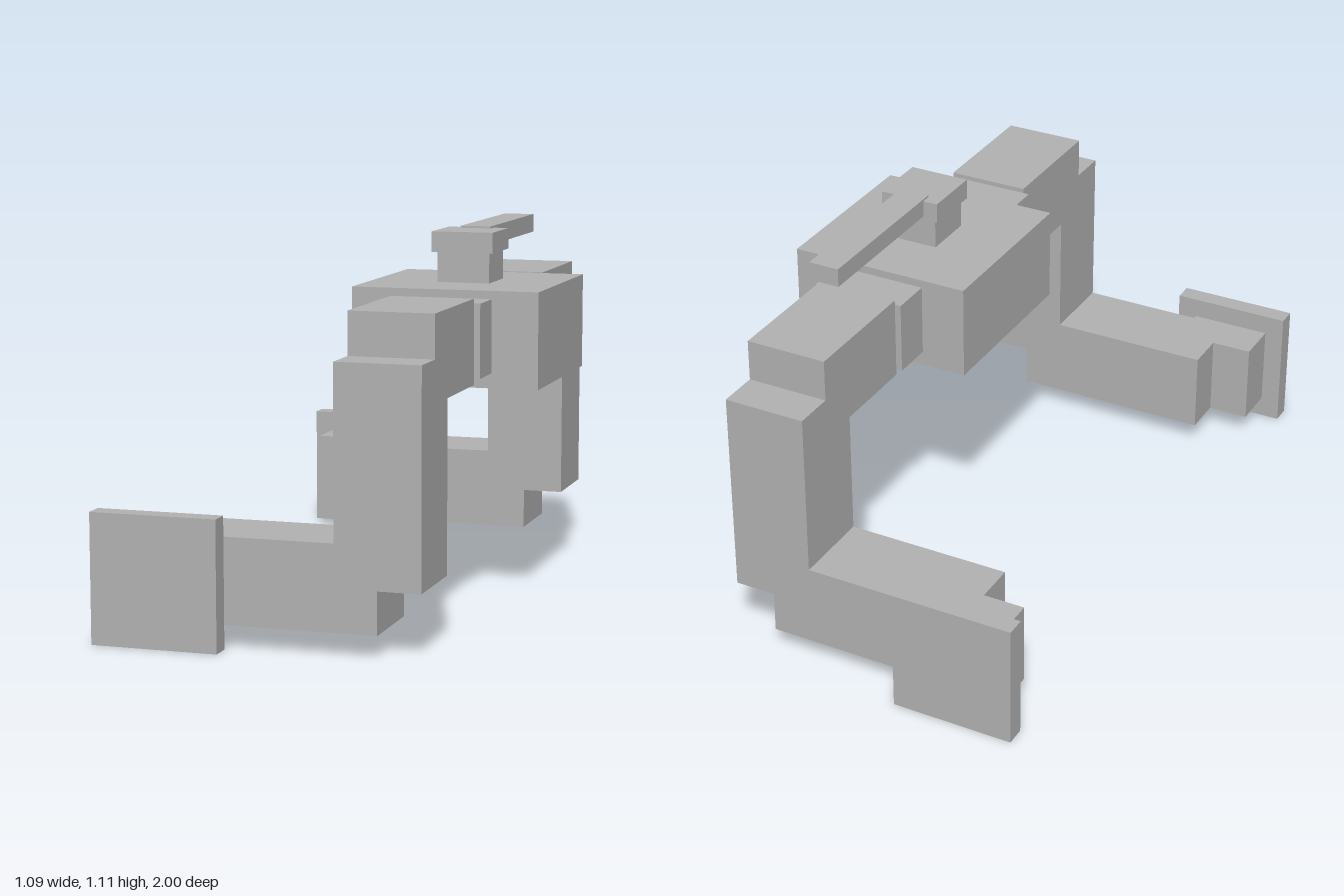
import * as THREE from 'three';

export function createModel() {
  const model = new THREE.Group();
  model.name = 'valvePipe';
  const metal = new THREE.MeshStandardMaterial({ color: 0xb2b2b2 });
  metal.name = 'grey metal';

  // box given by its min and max on each axis
  function box(name, [x0, x1], [y0, y1], [z0, z1], parent = model) {
    const mesh = new THREE.Mesh(new THREE.BoxGeometry(x1 - x0, y1 - y0, z1 - z0), metal);
    mesh.position.set((x0 + x1) / 2, (y0 + y1) / 2, (z0 + z1) / 2);
    mesh.name = name;
    parent.add(mesh);
  }

  // valve housing with stem, cap and lever
  box('valveBody', [-0.017, 0.546], [0.664, 0.948], [-0.28, 0.28]);
  box('valveStem', [0.185, 0.345], [0.948, 1.038], [-0.08, 0.08]);
  box('stemCap', [0.171, 0.358], [1.038, 1.1], [-0.093, 0.093]);
  box('leverHandle', [0.217, 0.311], [1.05, 1.106], [-0.585, -0.06]);

  // mirrored pipe runs, front and back
  for (const side of [1, -1]) {
    const pipe = new THREE.Group();
    pipe.name = side > 0 ? 'frontPipe' : 'backPipe';
    const run = (name, x, y, [a, b]) =>
      box(name, x, y, side > 0 ? [a, b] : [-b, -a], pipe);
    run('collar', [0.121, 0.407], [0.708, 0.924], [0.28, 0.405]);
    run('upperPipe', [0.14, 0.389], [0.69, 0.938], [0.405, 0.8]);
    run('verticalPipe', [0.14, 0.389], [0.19, 0.813], [0.675, 0.925]);
    run('lowerPipe', [-0.36, 0.264], [0.066, 0.315], [0.675, 0.925]);
    run('outletStub', [-0.487, -0.237], [0.066, 0.315], [0.802, 0.94]);
    run('flange', [-0.547, -0.174], [0, 0.377], [0.94, 1]);
    model.add(pipe);
  }
  return model;
}
